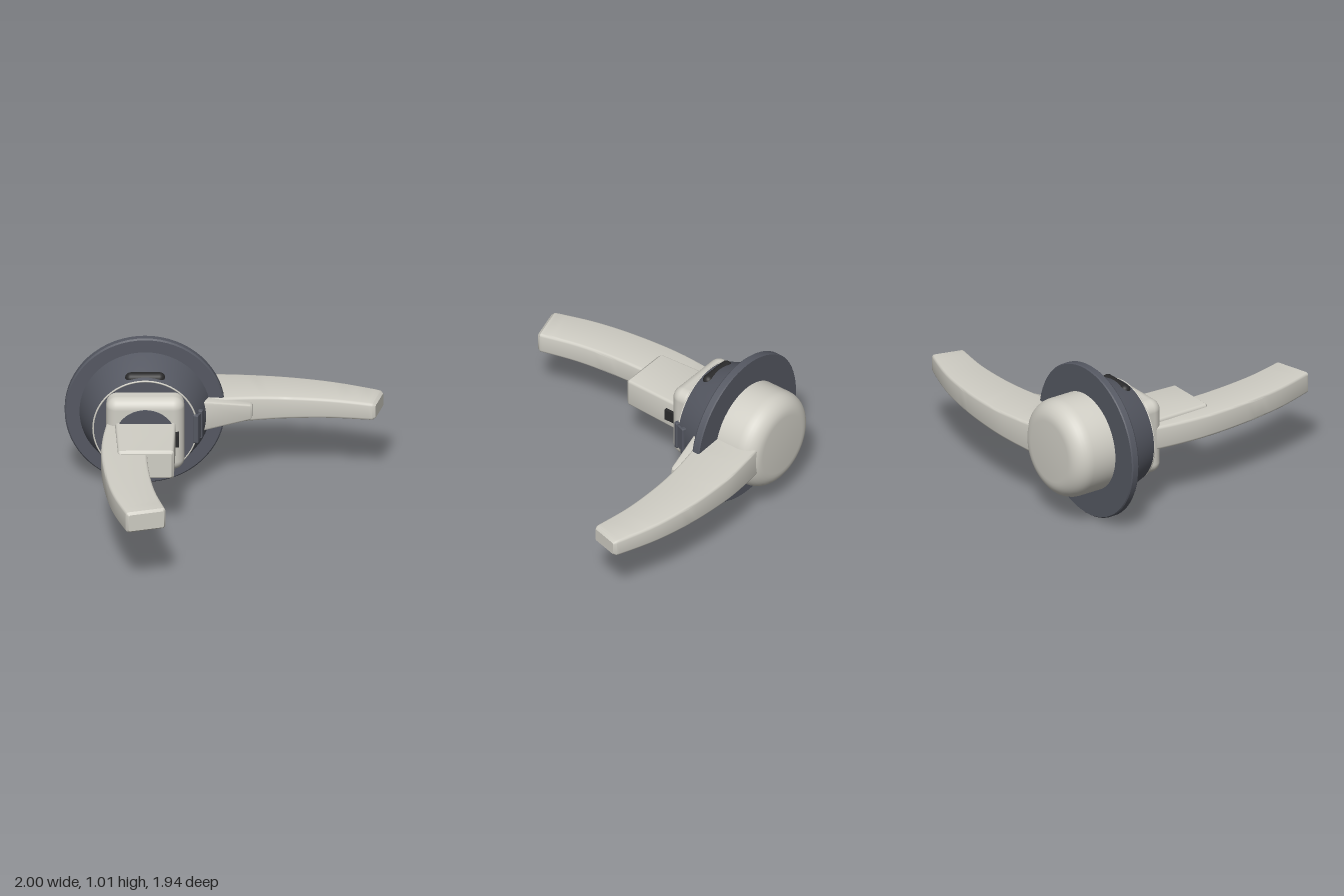
import * as THREE from 'three';
import { toCreasedNormals } from 'three/addons/utils/BufferGeometryUtils.js';
import { RoundedBoxGeometry } from 'three/addons/geometries/RoundedBoxGeometry.js';

const CX = -0.5, CY = 0.505;

const material = (name, color) => {
  const m = new THREE.MeshStandardMaterial({ color });
  m.name = name;
  return m;
};

// Rounded rectangular bar through stations { a, b: [x, z] side points, h: half height }
function loft(stations, r) {
  const list = stations.map((s) => ({ ...s, r }));
  const tip = list.pop();
  const u = new THREE.Vector2(tip.b[0] - tip.a[0], tip.b[1] - tip.a[1]).normalize();
  const back = (p) => [p[0] + u.y * r, p[1] - u.x * r];
  list.push({ ...tip, a: back(tip.a), b: back(tip.b) });
  // bevelled end
  list.push({
    a: [tip.a[0] + u.x * r * 0.8, tip.a[1] + u.y * r * 0.8],
    b: [tip.b[0] - u.x * r * 0.8, tip.b[1] - u.y * r * 0.8],
    h: tip.h - r * 0.8, r: r * 0.5,
  });
  const pos = [], idx = [], n = 16;
  for (const s of list) {
    const ux = s.b[0] - s.a[0], uz = s.b[1] - s.a[1], w = Math.hypot(ux, uz);
    const mx = (s.a[0] + s.b[0]) / 2, mz = (s.a[1] + s.b[1]) / 2;
    for (let j = 0; j < n; j++) {
      const q = Math.floor(j / 4), t = (q + (j % 4) / 3) * Math.PI / 2;
      const p = (q === 0 || q === 3 ? 1 : -1) * (w / 2 - s.r) + Math.cos(t) * s.r;
      const v = (q < 2 ? 1 : -1) * (s.h - s.r) + Math.sin(t) * s.r;
      pos.push(mx + ux / w * p, CY + v, mz + uz / w * p);
    }
  }
  const last = (list.length - 1) * n;
  for (let i = 0; i < last; i += n) {
    for (let j = 0; j < n; j++) {
      const k = (j + 1) % n;
      idx.push(i + j, i + k, i + n + k, i + j, i + n + k, i + n + j);
    }
  }
  for (let j = 1; j < n - 1; j++) idx.push(last, last + j, last + j + 1, 0, j + 1, j);
  const g = new THREE.BufferGeometry();
  g.setAttribute('position', new THREE.Float32BufferAttribute(pos, 3));
  g.setIndex(idx);
  return toCreasedNormals(g, 0.6);
}

// Stations of a curved arm sampled between two side curves
function armStations(sideA, sideB, h0, h1, count = 24) {
  const curve = (pts) => new THREE.SplineCurve(pts.map((p) => new THREE.Vector2(...p)));
  const A = curve(sideA), B = curve(sideB);
  return Array.from({ length: count + 1 }, (_, i) => {
    const t = i / count;
    return { a: A.getPoint(t).toArray(), b: B.getPoint(t).toArray(), h: h0 + (h1 - h0) * t };
  });
}

// Turned part about the z axis from [radius, z] points, z rising
function turned(points) {
  const g = new THREE.LatheGeometry(points.map((p) => new THREE.Vector2(...p)), 64);
  g.rotateX(Math.PI / 2);
  return toCreasedNormals(g, 0.5);
}

export function createModel() {
  const model = new THREE.Group();
  const light = material('warm light grey', 0xd0cec5);
  const dark = material('slate grey', 0x555862);
  const black = material('black', 0x2a2a2b);

  const add = (name, geometry, mat, x = 0, y = 0, z = 0, parent = model) => {
    const mesh = new THREE.Mesh(geometry, mat);
    mesh.name = name;
    mesh.position.set(x, y, z);
    parent.add(mesh);
    return mesh;
  };

  // Housing: flange and tapered collar
  add('flange', turned([[0, -0.675], [0.497, -0.675], [0.503, -0.668], [0.503, -0.63],
    [0.494, -0.62], [0, -0.62]]), dark, CX, CY);
  add('collar', turned([[0, -0.64], [0.417, -0.64], [0.41, -0.62], [0.336, -0.395],
    [0.325, -0.375], [0, -0.375]]), dark, CX, CY);
  add('collarRing', new THREE.TorusGeometry(0.326, 0.006, 8, 64), light, CX, CY, -0.379);

  // Rear dome with a filleted rim
  const dome = [[0, -0.955]];
  for (let i = 0; i <= 8; i++) {
    const t = i / 8 * Math.PI / 2;
    dome.push([0.2 + 0.12 * Math.sin(t), -0.835 - 0.12 * Math.cos(t)]);
  }
  dome.push([0.32, -0.66]);
  add('rearDome', turned(dome), light, CX, CY);

  // Front hub
  add('hub', new RoundedBoxGeometry(0.49, 0.5, 0.18, 5, 0.07), light, CX, CY + 0.005, -0.335);
  const disc = new THREE.CylinderGeometry(0.192, 0.192, 0.03, 48);
  disc.rotateX(Math.PI / 2);
  add('hubDisc', disc, dark, CX, CY, -0.25);

  // Front handle: socket block and curved arm
  add('frontSocket', loft([
    { a: [-0.692, -0.3], b: [-0.308, -0.3], h: 0.102 },
    { a: [-0.675, 0.15], b: [-0.323, 0.15], h: 0.096 },
  ], 0.018), light);
  add('frontArm', loft(armStations(
    [[-0.735, -0.36], [-0.768, -0.12], [-0.779, 0.12], [-0.757, 0.42], [-0.708, 0.7], [-0.625, 0.968]],
    [[-0.47, -0.36], [-0.48, -0.12], [-0.49, 0.1], [-0.48, 0.36], [-0.444, 0.64], [-0.378, 0.9]],
    0.08, 0.07), 0.018), light);

  // Rear handle: curved arm and short wedge
  add('rearArm', loft(armStations(
    [[-0.3, -0.55], [-0.07, -0.6], [0.17, -0.637], [0.4, -0.648], [0.67, -0.633], [0.942, -0.582]],
    [[-0.3, -0.935], [-0.1, -0.96], [0.1, -0.971], [0.4, -0.951], [0.7, -0.894], [1.0, -0.79]],
    0.102, 0.057), 0.018), light);
  add('rearWedge', loft([
    { a: [-0.13, -0.536], b: [-0.13, -0.64], h: 0.1 },
    { a: [0.17, -0.588], b: [0.175, -0.655], h: 0.053 },
  ], 0.012), light);

  // Side latch lying on the collar slope
  const latch = new THREE.Group();
  latch.name = 'sideLatch';
  latch.position.set(-0.168, CY, -0.405);
  latch.rotation.y = -0.354;
  model.add(latch);
  add('latchPlate', new THREE.BoxGeometry(0.024, 0.165, 0.08), dark, 0, 0, 0, latch);
  for (const s of [-1, 1]) {
    add('latchBar', new RoundedBoxGeometry(0.036, 0.195, 0.032, 2, 0.008), dark, 0, 0, s * 0.036, latch);
  }

  // Dark slots above and below, and the stop pin beside the socket
  for (const s of [-1, 1]) {
    const slot = new THREE.CapsuleGeometry(0.036, 0.18, 8, 20);
    slot.rotateZ(Math.PI / 2);
    add('collarSlot', slot, black, CX, CY + s * 0.322, -0.438);
  }
  add('stopPin', new THREE.BoxGeometry(0.06, 0.075, 0.075), black, -0.32, CY, -0.218);

  return model;
}
